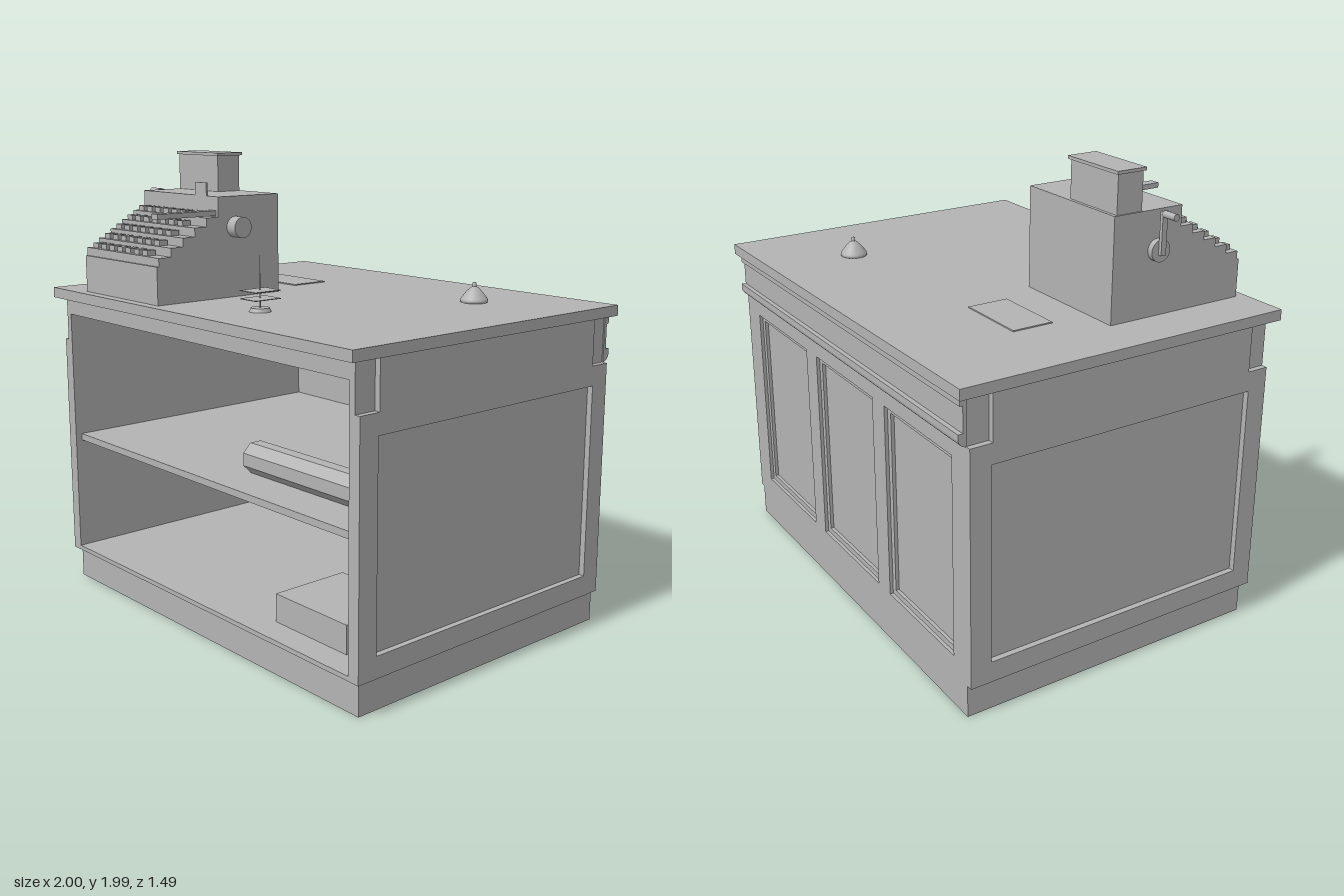
import * as THREE from 'three';

const grey = new THREE.MeshStandardMaterial({ color: 0xb3b3b3 });
grey.name = 'plain grey';

export function createModel() {
  const model = new THREE.Group();
  model.name = 'shopCounter';

  const group = (name) => {
    const g = new THREE.Group();
    g.name = name;
    model.add(g);
    return g;
  };
  const add = (parent, name, geometry) => {
    const mesh = new THREE.Mesh(geometry, grey);
    mesh.name = name;
    parent.add(mesh);
    return mesh;
  };
  // Box given by its limits on each axis
  const box = (parent, name, x0, x1, y0, y1, z0, z1) => {
    const mesh = add(parent, name, new THREE.BoxGeometry(x1 - x0, y1 - y0, z1 - z0));
    mesh.position.set((x0 + x1) / 2, (y0 + y1) / 2, (z0 + z1) / 2);
    return mesh;
  };
  // Cylinder lying along x
  const rod = (parent, name, x0, x1, y, z, r, sides = 20) => {
    const mesh = add(parent, name, new THREE.CylinderGeometry(r, r, x1 - x0, sides));
    mesh.rotation.z = Math.PI / 2;
    mesh.position.set((x0 + x1) / 2, y, z);
    return mesh;
  };
  const outline = (points) => new THREE.Shape(points.map(([a, b]) => new THREE.Vector2(a, b)));
  const rectangle = (a0, a1, b0, b1) => outline([[a0, b0], [a1, b0], [a1, b1], [a0, b1]]);
  const extrude = (shape, depth) =>
    new THREE.ExtrudeGeometry(shape, { depth, bevelEnabled: false, curveSegments: 8 });
  // Profile drawn in (z, y), extruded from x1 back to x0
  const alongX = (parent, name, shape, x0, x1) => {
    const mesh = add(parent, name, extrude(shape, x1 - x0));
    mesh.rotation.y = -Math.PI / 2;
    mesh.position.x = x1;
    return mesh;
  };

  // Counter top
  box(model, 'counterTop', -1, 1, 1.34, 1.385, -0.745, 0.745);

  // Hollow plinth
  const plinth = group('plinth');
  box(plinth, 'plinthFront', -0.965, 0.965, 0, 0.14, 0.645, 0.675);
  box(plinth, 'plinthBack', -0.965, 0.965, 0, 0.14, -0.7, -0.665);
  for (const s of [-1, 1]) {
    const a = s * 0.935, b = s * 0.965;
    box(plinth, 'plinthSide', Math.min(a, b), Math.max(a, b), 0, 0.14, -0.665, 0.645);
  }

  // Side walls with a sunk panel and notched upper corners
  const cabinet = group('cabinet');
  for (const s of [-1, 1]) {
    const wall = s > 0 ? [0.935, 0.965] : [-0.965, -0.935];
    box(cabinet, 'sideWall', ...wall, 0.14, 1.34, -0.67, 0.7);
    const frame = outline([[-0.7, 0.14], [0.7, 0.14], [0.7, 1.145], [0.605, 1.145],
      [0.605, 1.34], [-0.605, 1.34], [-0.605, 1.145], [-0.7, 1.145]]);
    frame.holes.push(rectangle(-0.61, 0.61, 0.23, 1.06));
    const skin = s > 0 ? [0.965, 0.99] : [-0.99, -0.965];
    alongX(cabinet, 'sideFrame', frame, ...skin);
  }

  // Back wall with three stepped panels
  box(cabinet, 'backWall', -0.965, 0.965, 0.14, 1.34, -0.67, -0.65);
  [[-0.7, 0], [-0.685, 0.025]].forEach(([z, inset]) => {
    const frame = rectangle(-0.965, 0.965, 0.14, 1.34);
    for (const x of [-0.61, 0, 0.61])
      frame.holes.push(rectangle(x - 0.255 + inset, x + 0.255 - inset, 0.22 + inset, 1.07 - inset));
    add(cabinet, 'backFrame', extrude(frame, 0.015)).position.z = z;
  });

  // Frieze and mouldings across the back
  const moulding = outline([[-0.7, 1.34], [-0.715, 1.34], [-0.715, 1.33], [-0.727, 1.33],
    [-0.727, 1.305], [-0.715, 1.305], [-0.715, 1.2], [-0.735, 1.2], [-0.735, 1.175]]);
  moulding.quadraticCurveTo(-0.73, 1.15, -0.7, 1.145);
  alongX(cabinet, 'backMoulding', moulding, -0.97, 0.97);

  // Open front: rail, shelf and floor
  box(cabinet, 'frontRail', -0.935, 0.935, 1.265, 1.34, 0.67, 0.7);
  box(cabinet, 'shelf', -0.935, 0.935, 0.67, 0.7, -0.65, 0.67);
  box(cabinet, 'floor', -0.935, 0.935, 0.14, 0.16, -0.65, 0.7);

  // Goods on the shelves
  const roll = new THREE.CylinderGeometry(0.07, 0.07, 0.735, 8).toNonIndexed();
  roll.rotateY(Math.PI / 8);
  roll.computeVertexNormals();
  const rollMesh = add(model, 'paperRoll', roll);
  rollMesh.rotation.z = Math.PI / 2;
  rollMesh.position.set(0.457, 0.765, 0.45);
  box(model, 'storedBox', 0.375, 0.795, 0.16, 0.28, 0.22, 0.58);

  // Cash register body: five key steps rising to the back block
  const register = group('cashRegister');
  const profile = [[0.06, 1.385], [0.7, 1.385], [0.7, 1.545], [0.69, 1.545]];
  for (let i = 0; i < 5; i++) {
    const y = 1.58 + i * 0.0375, z = 0.69 - i * 0.061;
    profile.push([z, y], [z - 0.061, y]);
  }
  profile.push([0.385, 1.815], [0.06, 1.815]);
  alongX(register, 'registerBody', outline(profile), -0.785, -0.23);

  // Keys
  for (let row = 0; row < 5; row++) {
    const y = 1.58 + row * 0.0375, z = 0.656 - row * 0.06;
    for (let col = 0; col < 7; col++) {
      const x = -0.735 + col * 0.064;
      box(register, 'key', x - 0.02, x + 0.02, y, y + 0.022, z - 0.02, z + 0.02);
    }
  }
  box(register, 'keyBar', -0.29, -0.245, 1.735, 1.757, 0.385, 0.68);

  // Display box, price tab and side drum
  box(register, 'displayBox', -0.778, -0.485, 1.815, 1.972, 0.075, 0.193);
  box(register, 'displayCap', -0.787, -0.475, 1.972, 1.985, 0.065, 0.2);
  box(register, 'priceTab', -0.39, -0.31, 1.815, 1.87, 0.378, 0.386);
  rod(register, 'sideDrum', -0.23, -0.175, 1.685, 0.295, 0.045);

  // Crank
  rod(register, 'crankHub', -0.81, -0.785, 1.655, 0.27, 0.045);
  box(register, 'crankArm', -0.825, -0.81, 1.64, 1.815, 0.258, 0.282);
  rod(register, 'crankHandle', -0.892, -0.825, 1.804, 0.268, 0.014, 12);

  // Bill spike with two slips
  const spike = group('billSpike');
  const base = add(spike, 'spikeBase', new THREE.CylinderGeometry(0.038, 0.045, 0.016, 20));
  base.position.set(0.155, 1.393, 0.47);
  const needle = add(spike, 'spikeNeedle', new THREE.CylinderGeometry(0.001, 0.003, 0.21, 8));
  needle.position.set(0.155, 1.505, 0.47);
  for (const y of [1.437, 1.47])
    box(spike, 'paperSlip', 0.107, 0.207, y - 0.0015, y + 0.0015, 0.405, 0.535);

  // Counter bell
  const bell = group('bell');
  const bellProfile = [[0, 1.385], [0.058, 1.385], [0.058, 1.394], [0.058, 1.394], [0.056, 1.402],
    [0.036, 1.428], [0.018, 1.446], [0.008, 1.452], [0.008, 1.452], [0.008, 1.468], [0, 1.47]];
  add(bell, 'bellDome', new THREE.LatheGeometry(
    bellProfile.map(([r, y]) => new THREE.Vector2(r, y)), 24)).position.set(0.555, 0, -0.355);

  // Loose sheet behind the register
  box(model, 'sheet', -0.64, -0.32, 1.385, 1.39, -0.29, -0.11);

  return model;
}
